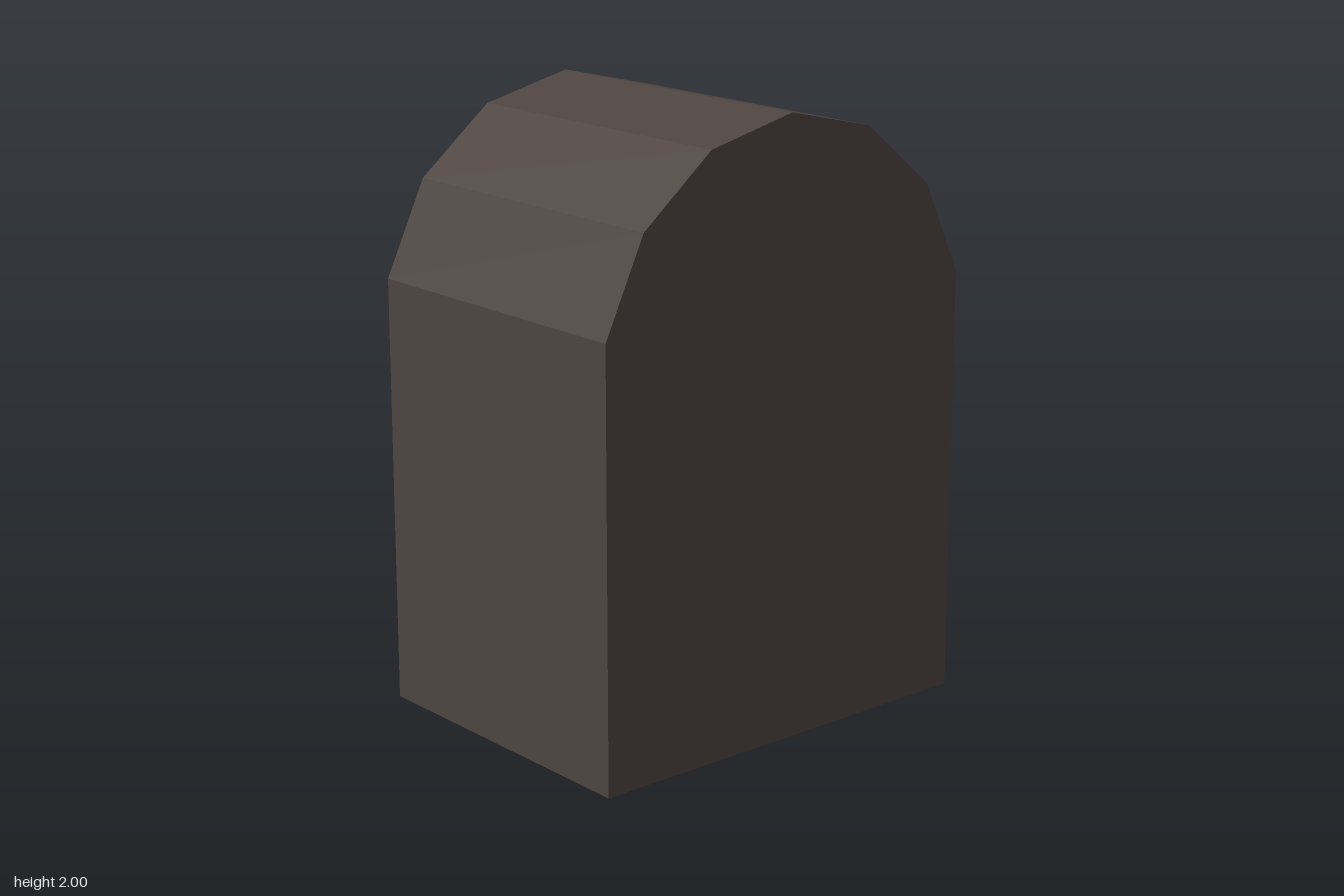
import * as THREE from 'three';

export function createModel() {
  const group = new THREE.Group();
  group.name = 'archedBlock';

  const stone = new THREE.MeshStandardMaterial({ color: 0x4e4540, flatShading: true });
  stone.name = 'dark brown stone';

  // Right half of the faceted arch, from springing line to crown
  const arch = [[0.722, 1.41], [0.578, 1.715], [0.32, 1.925]];
  const mirrored = arch.map(([x, y]) => [-x, y]).reverse();
  const outline = [[-0.722, 0], [0.722, 0], ...arch, [0, 2], ...mirrored];

  // Solid block with a vaulted top, extruded front to back
  const depth = 1.085;
  const shape = new THREE.Shape(outline.map(([x, y]) => new THREE.Vector2(x, y)));
  const geometry = new THREE.ExtrudeGeometry(shape, { depth, bevelEnabled: false });
  geometry.translate(0, 0, -depth / 2);

  const block = new THREE.Mesh(geometry, stone);
  block.name = 'vaultedBlock';
  group.add(block);
  return group;
}
